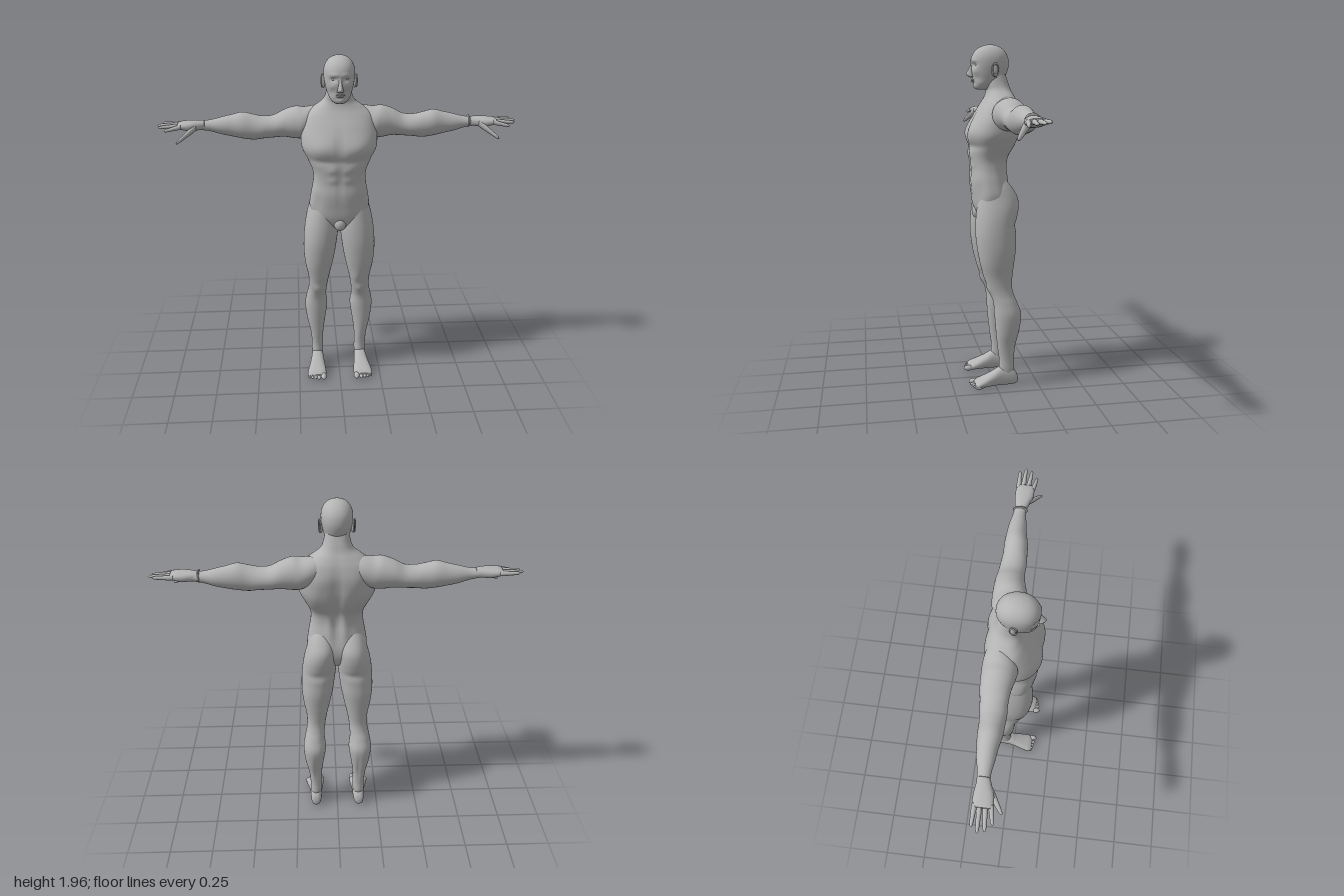
import * as THREE from 'three';

const skin = new THREE.MeshStandardMaterial({ color: 0xb4b4b4 });
skin.name = 'plain grey';

const AXES = { x: [0, 1, 2], y: [1, 2, 0], z: [2, 0, 1] };

function smooth(p, q, r, s, f) {
  return 0.5 * (2 * q + (r - p) * f + (2 * p - 5 * q + 4 * r - s) * f * f + (3 * q - p - 3 * r + s) * f * f * f);
}

// Loft along an axis. Each section is [t, aMin, aMax, bMin, bMax];
// (a, b) is (y, z) along x, (z, x) along y and (x, y) along z.
// power < 1 makes sections boxier. bumps: [x, y, zSign, rx, ry, amount] push the surface along z, mirrored in x.
function loft(axis, sections, { power = 1, bumps = [], sides = 40, steps = 6 } = {}) {
  const [T, A, B] = AXES[axis];
  const rows = [];
  const at = i => sections[Math.max(0, Math.min(sections.length - 1, i))];
  for (let i = 0; i < sections.length - 1; i++) {
    for (let k = 0; k < steps; k++) {
      rows.push(at(i).map((_, c) => smooth(at(i - 1)[c], at(i)[c], at(i + 1)[c], at(i + 2)[c], k / steps)));
    }
  }
  rows.push(at(sections.length));
  const pos = [], index = [];
  const put = (t, a, b) => {
    const v = [0, 0, 0];
    v[T] = t; v[A] = a; v[B] = b;
    let push = 0;
    for (const [x, y, sign, rx, ry, amount] of bumps) {
      const w = Math.max(0, Math.min(1, v[2] * sign / 0.06));
      push += sign * amount * w * Math.exp(-(((Math.abs(v[0]) - x) / rx) ** 2) - ((v[1] - y) / ry) ** 2);
    }
    v[2] += push;
    pos.push(...v);
  };
  const round = c => Math.sign(c) * Math.abs(c) ** power;
  for (const [t, a0, a1, b0, b1] of rows) {
    for (let j = 0; j < sides; j++) {
      const th = j / sides * Math.PI * 2;
      put(t, (a0 + a1) / 2 + (a1 - a0) / 2 * round(Math.cos(th)), (b0 + b1) / 2 + (b1 - b0) / 2 * round(Math.sin(th)));
    }
  }
  const n = rows.length;
  for (let i = 0; i < n - 1; i++) {
    for (let j = 0; j < sides; j++) {
      const k = (j + 1) % sides, p = i * sides, q = p + sides;
      index.push(p + j, p + k, q + k, p + j, q + k, q + j);
    }
  }
  // end caps
  for (const [row, flip] of [[0, true], [n - 1, false]]) {
    const [t, a0, a1, b0, b1] = rows[row], c = pos.length / 3;
    put(t, (a0 + a1) / 2, (b0 + b1) / 2);
    for (let j = 0; j < sides; j++) {
      const u = row * sides + j, w = row * sides + (j + 1) % sides;
      index.push(c, flip ? w : u, flip ? u : w);
    }
  }
  const g = new THREE.BufferGeometry();
  g.setAttribute('position', new THREE.Float32BufferAttribute(pos, 3));
  g.setIndex(index);
  g.computeVertexNormals();
  return g;
}

function ball(x, y, z, rx, ry, rz) {
  return new THREE.SphereGeometry(1, 20, 14).scale(rx, ry, rz).translate(x, y, z);
}

// Rounded digit along x from point p to point q
function digit(p, q, r0, r1) {
  const rows = [[0, 0.9], [0.25, 1], [0.5, 0.95], [0.75, 0.95], [0.92, 0.8], [0.98, 0.45], [1, 0.1]];
  return loft('x', rows.map(([f, k]) => {
    const r = (r0 + (r1 - r0) * f) * k;
    const [x, y, z] = p.map((c, i) => c + (q[i] - c) * f);
    return [x, y - r, y + r, z - r, z + r];
  }), { sides: 14, steps: 3 });
}

function mirrored(geometry) {
  const g = geometry.clone().scale(-1, 1, 1);
  const id = g.index.array;
  for (let i = 0; i < id.length; i += 3) [id[i], id[i + 1]] = [id[i + 1], id[i]];
  g.computeVertexNormals();
  return g;
}

export function createModel() {
  const model = new THREE.Group();
  model.name = 'standingFigure';
  const add = (name, geometry) => {
    const mesh = new THREE.Mesh(geometry, skin);
    mesh.name = name;
    model.add(mesh);
  };
  const pair = (name, geometry) => {
    add(name + 'Left', geometry);
    add(name + 'Right', mirrored(geometry));
  };

  // Trunk and neck, with chest, belly and back relief
  add('trunk', loft('y', [
    [0.985, -0.03, 0.07, -0.03, 0.03], [1.01, -0.07, 0.09, -0.09, 0.09], [1.06, -0.095, 0.108, -0.15, 0.15],
    [1.12, -0.1, 0.116, -0.17, 0.17], [1.2, -0.085, 0.125, -0.16, 0.16], [1.27, -0.075, 0.122, -0.148, 0.148],
    [1.33, -0.085, 0.128, -0.15, 0.15], [1.4, -0.122, 0.135, -0.18, 0.18], [1.46, -0.142, 0.14, -0.208, 0.208],
    [1.52, -0.15, 0.125, -0.212, 0.212], [1.58, -0.152, 0.095, -0.205, 0.205], [1.635, -0.142, 0.06, -0.185, 0.185],
    [1.675, -0.126, 0.038, -0.135, 0.135], [1.71, -0.108, 0.03, -0.09, 0.09], [1.75, -0.094, 0.038, -0.072, 0.072],
    [1.82, -0.07, 0.03, -0.06, 0.06],
  ], {
    power: 0.85, sides: 72, steps: 8,
    bumps: [
      [0.1, 1.48, 1, 0.07, 0.05, 0.012], [0, 1.5, 1, 0.016, 0.09, -0.006], [0, 1.28, 1, 0.014, 0.12, -0.005],
      [0.08, 1.4, 1, 0.1, 0.02, -0.007], [0.045, 1.35, 1, 0.03, 0.02, 0.005], [0.045, 1.29, 1, 0.03, 0.02, 0.004],
      [0.13, 1.15, 1, 0.03, 0.06, -0.008], [0, 1.4, -1, 0.025, 0.2, -0.018], [0.04, 1.25, -1, 0.025, 0.1, 0.008],
      [0.1, 1.55, -1, 0.05, 0.07, 0.008], [0.14, 1.42, -1, 0.04, 0.07, 0.007],
    ],
  }));
  add('groin', ball(0, 1.02, 0.082, 0.035, 0.042, 0.034));

  // Head
  add('head', loft('y', [
    [1.712, 0.03, 0.078, -0.022, 0.022], [1.722, 0.005, 0.096, -0.04, 0.04], [1.745, -0.03, 0.104, -0.057, 0.057],
    [1.775, -0.07, 0.109, -0.069, 0.069], [1.81, -0.088, 0.114, -0.078, 0.078], [1.85, -0.097, 0.117, -0.084, 0.084],
    [1.89, -0.093, 0.113, -0.083, 0.083], [1.922, -0.076, 0.096, -0.071, 0.071], [1.945, -0.05, 0.068, -0.05, 0.05],
    [1.957, -0.02, 0.035, -0.024, 0.024], [1.96, 0.004, 0.01, -0.003, 0.003],
  ], {
    sides: 72, power: 0.94,
    bumps: [
      [0.034, 1.847, 1, 0.02, 0.013, -0.014], [0.032, 1.87, 1, 0.026, 0.009, 0.005], [0.045, 1.81, 1, 0.018, 0.014, 0.004],
      [0.045, 1.775, 1, 0.018, 0.02, -0.005], [0, 1.728, 1, 0.02, 0.012, 0.004], [0, 1.748, 1, 0.025, 0.006, -0.004],
    ],
  }));
  add('nose', loft('y', [
    [1.779, 0.1, 0.116, -0.01, 0.01], [1.785, 0.1, 0.132, -0.018, 0.018], [1.797, 0.1, 0.145, -0.016, 0.016],
    [1.82, 0.1, 0.134, -0.01, 0.01], [1.845, 0.095, 0.12, -0.008, 0.008], [1.868, 0.095, 0.116, -0.01, 0.01],
  ], { sides: 20 }));
  add('upperLip', ball(0, 1.766, 0.107, 0.024, 0.005, 0.01));
  add('lowerLip', ball(0, 1.757, 0.105, 0.02, 0.005, 0.01));
  pair('eye', ball(0.034, 1.847, 0.086, 0.015, 0.008, 0.012));
  pair('ear', ball(0.084, 1.818, -0.004, 0.011, 0.036, 0.02).rotateX(0));
  pair('earRim', new THREE.TorusGeometry(0.02, 0.004, 8, 24).scale(0.85, 1.6, 1)
    .rotateY(Math.PI / 2 + 0.25).translate(0.092, 1.822, -0.006));

  // Arms from shoulder to wrist
  pair('arm', loft('x', [
    [0.07, 1.57, 1.67, -0.12, -0.03], [0.13, 1.53, 1.673, -0.142, 0.0], [0.19, 1.495, 1.667, -0.15, 0.03],
    [0.24, 1.492, 1.671, -0.149, 0.025], [0.3, 1.5, 1.652, -0.146, 0.01], [0.36, 1.497, 1.622, -0.138, 0.003],
    [0.42, 1.493, 1.618, -0.132, 0.005], [0.47, 1.487, 1.628, -0.127, 0.002], [0.53, 1.493, 1.641, -0.127, -0.002],
    [0.59, 1.505, 1.628, -0.122, -0.015], [0.65, 1.518, 1.614, -0.115, -0.023], [0.71, 1.536, 1.6, -0.102, -0.033],
    [0.76, 1.545, 1.597, -0.098, -0.033], [0.79, 1.55, 1.592, -0.095, -0.03],
  ], { sides: 48 }));
  add('wristRing', loft('x', [[0.73, 1.542, 1.604, -0.104, -0.029], [0.733, 1.538, 1.61, -0.107, -0.026],
    [0.737, 1.54, 1.604, -0.104, -0.029]], { steps: 2 }));

  // Hands
  pair('palm', loft('x', [
    [0.74, 1.548, 1.598, -0.095, -0.034], [0.78, 1.546, 1.6, -0.1, -0.02], [0.82, 1.545, 1.599, -0.105, -0.006],
    [0.86, 1.552, 1.596, -0.105, -0.004], [0.885, 1.56, 1.59, -0.1, -0.008],
  ], { power: 0.85 }));
  const fingers = [
    ['indexFinger', -0.015, 0.955, 1.557, 0.002], ['middleFinger', -0.041, 0.99, 1.569, -0.03],
    ['ringFinger', -0.068, 1.0, 1.573, -0.064], ['littleFinger', -0.092, 0.975, 1.578, -0.095],
  ];
  for (const [name, z, tipX, tipY, tipZ] of fingers) pair(name, digit([0.865, 1.575, z], [tipX, tipY, tipZ], 0.0145, 0.009));
  pair('thumb', digit([0.785, 1.57, -0.035], [0.892, 1.495, 0.036], 0.022, 0.011));

  // Legs from buttock to ankle
  pair('leg', loft('y', [
    [0.05, -0.1, -0.03, 0.105, 0.165], [0.1, -0.112, -0.022, 0.098, 0.168], [0.16, -0.11, -0.022, 0.098, 0.168],
    [0.24, -0.117, -0.012, 0.096, 0.176], [0.33, -0.137, -0.002, 0.084, 0.195], [0.43, -0.149, 0.006, 0.07, 0.206],
    [0.5, -0.126, 0.012, 0.077, 0.196], [0.55, -0.106, 0.026, 0.075, 0.185], [0.6, -0.096, 0.045, 0.069, 0.181],
    [0.66, -0.1, 0.065, 0.058, 0.185], [0.74, -0.11, 0.088, 0.04, 0.2], [0.82, -0.12, 0.102, 0.024, 0.208],
    [0.9, -0.12, 0.11, 0.013, 0.207], [0.98, -0.125, 0.108, 0.004, 0.2], [1.05, -0.138, 0.1, 0.004, 0.188],
    [1.11, -0.134, 0.09, 0.006, 0.172], [1.17, -0.1, 0.075, 0.015, 0.155], [1.22, -0.06, 0.05, 0.04, 0.13],
  ], {
    sides: 48, power: 0.94,
    bumps: [[0.122, 0.575, 1, 0.03, 0.03, 0.016], [0.09, 0.66, 1, 0.025, 0.04, 0.006],
      [0.13, 0.3, -1, 0.012, 0.1, -0.006], [0.1, 0.955, -1, 0.08, 0.022, -0.009]],
  }));

  // Feet and toes
  pair('foot', loft('z', [
    [-0.132, 0.125, 0.147, 0.02, 0.045], [-0.122, 0.109, 0.162, 0.006, 0.075], [-0.09, 0.1, 0.168, 0, 0.11],
    [-0.03, 0.097, 0.172, 0, 0.112], [0.02, 0.092, 0.182, 0, 0.085], [0.07, 0.086, 0.195, 0, 0.06],
    [0.105, 0.086, 0.199, 0.001, 0.044], [0.125, 0.094, 0.19, 0.006, 0.03],
  ], { power: 0.85 }));
  for (let i = 0; i < 5; i++) {
    const r = i ? 0.0125 - i * 0.0006 : 0.017;
    pair('toe' + (i + 1), ball([0.102, 0.131, 0.152, 0.171, 0.188][i], r + 0.002, 0.126 - i * 0.006 - (i ? 0 : 0.002), r, r, 0.03));
  }
  return model;
}
